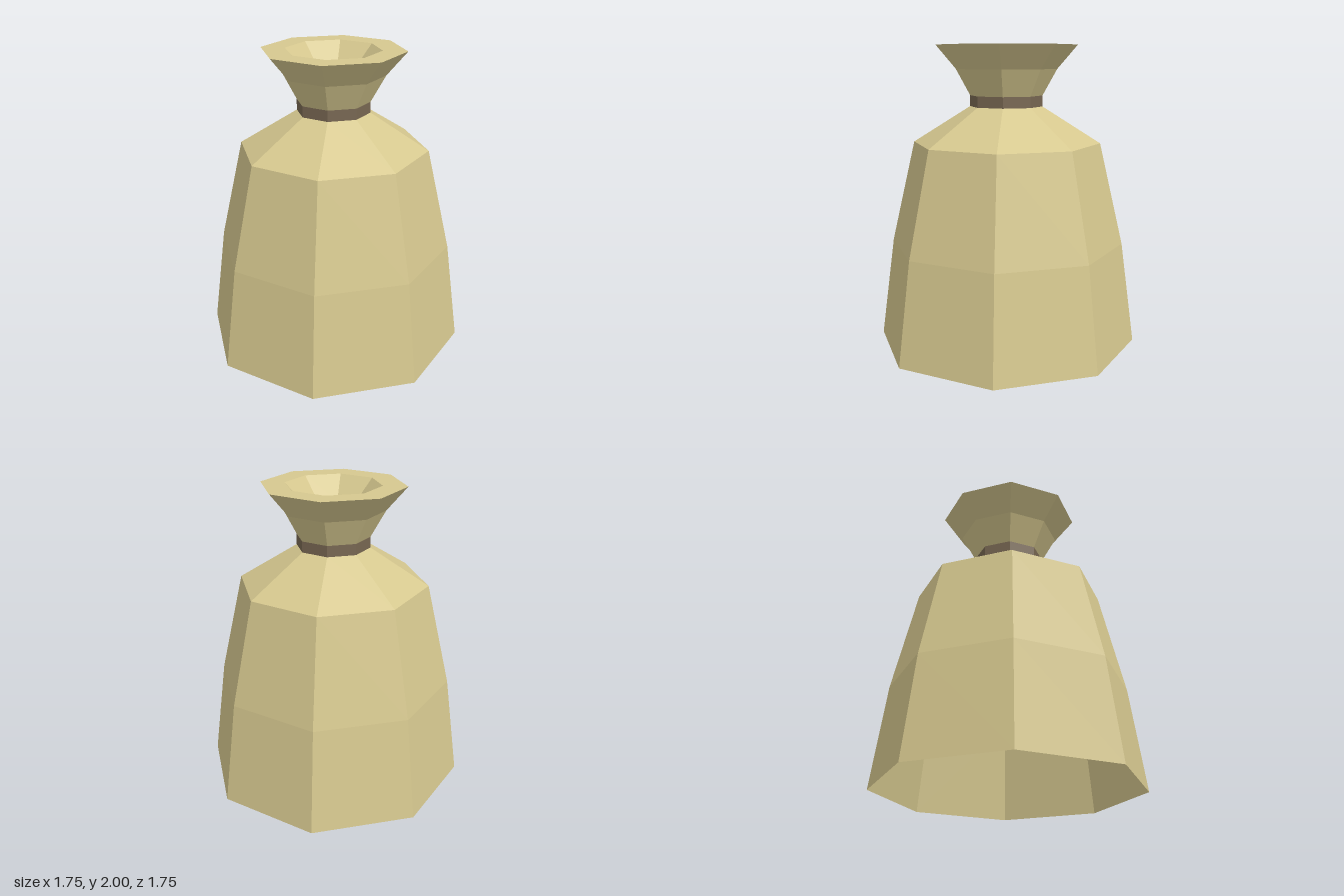
import * as THREE from 'three';

const SIDES = 8;

// Eight-sided, faceted ring surface from [radius, height] pairs
function facetedPart(name, profile, material) {
  const points = profile.map(([r, y]) => new THREE.Vector2(r, y));
  const mesh = new THREE.Mesh(new THREE.LatheGeometry(points, SIDES), material);
  mesh.name = name;
  return mesh;
}

function flatMaterial(name, color) {
  return new THREE.MeshStandardMaterial({ name, color, flatShading: true, side: THREE.DoubleSide });
}

export function createModel() {
  const cloth = flatMaterial('sackcloth', 0xd6c88f);
  const cord = flatMaterial('brownCord', 0x786752);

  const sack = new THREE.Group();
  sack.name = 'sack';
  sack.add(
    // Tapered body, open underneath
    facetedPart('body', [[0.876, 0], [0.783, 0.68], [0.623, 1.36]], cloth),
    // Sloping shoulder up to the tie
    facetedPart('shoulder', [[0.623, 1.36], [0.24, 1.6]], cloth),
    // Tie around the neck
    facetedPart('tie', [[0.24, 1.6], [0.24, 1.672]], cord),
    // Flared collar
    facetedPart('collar', [[0.24, 1.672], [0.335, 1.845], [0.467, 2]], cloth),
    // Flat rim and the shallow well inside it
    facetedPart('rim', [[0.467, 2], [0.31, 2]], cloth),
    facetedPart('well', [[0.31, 2], [0.167, 1.85], [0, 1.85]], cloth),
  );
  return sack;
}
